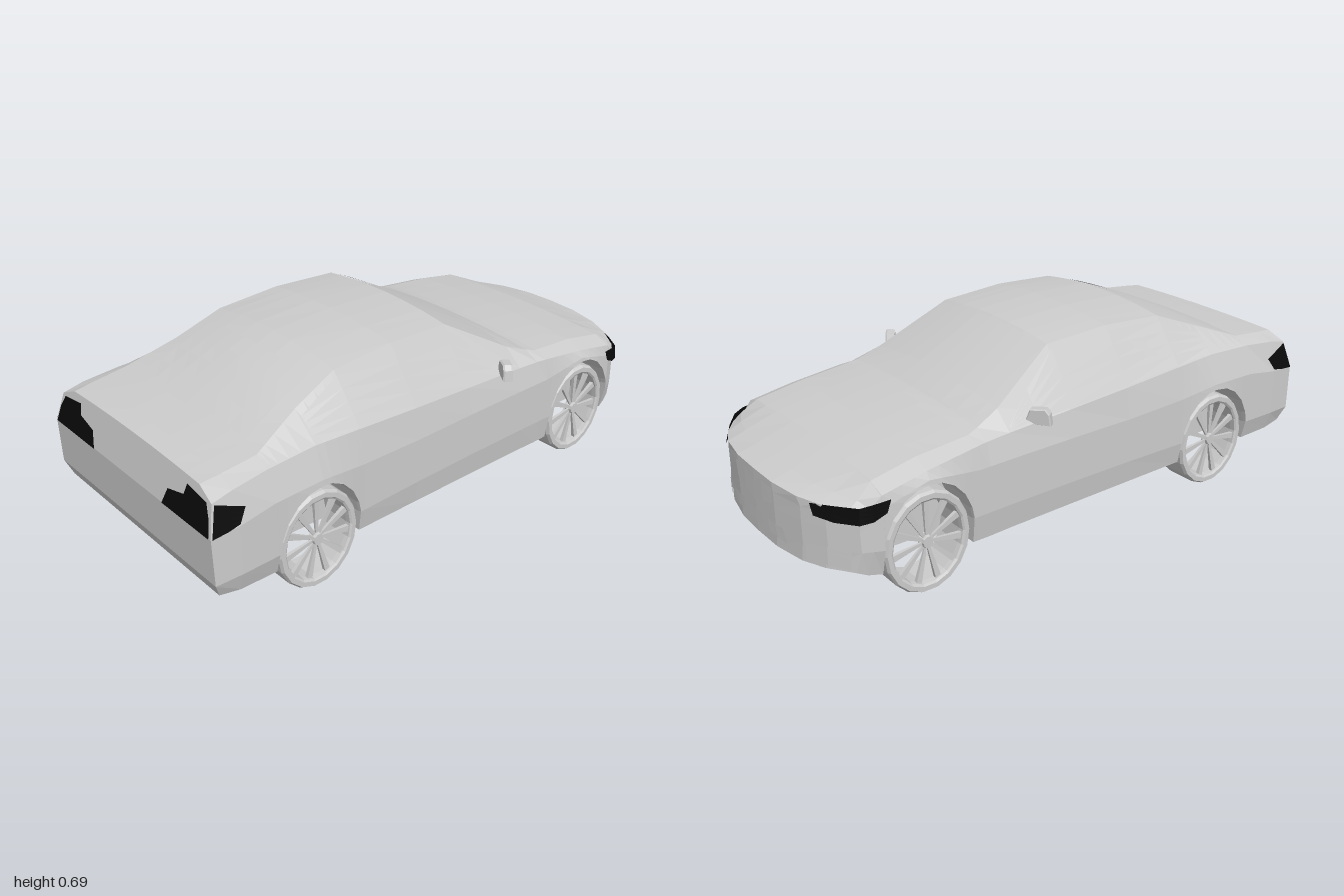
import * as THREE from 'three';

const grey = new THREE.MeshStandardMaterial({ color: 0xcccccc, flatShading: true, side: THREE.DoubleSide });
const black = new THREE.MeshStandardMaterial({ color: 0x0a0a0a, flatShading: true, side: THREE.DoubleSide });
const lerp = THREE.MathUtils.lerp;

// Body stations: z, then sillX sillY midX shoulderY beltX beltY edgeX edgeY centreY
const KNOTS = [
  [-1, .41, .14, .425, .28, .425, .33, .40, .35, .365],
  [-.93, .42, .125, .44, .30, .435, .352, .40, .374, .385],
  [-.8, .435, .12, .455, .35, .445, .39, .385, .415, .43],
  [-.64, .44, .12, .457, .395, .44, .42, .38, .445, .46],
  [-.45, .44, .118, .452, .37, .435, .445, .385, .465, .485],
  [-.41, .44, .118, .451, .37, .43, .447, .375, .475, .492],
  [-.32, .437, .119, .449, .37, .427, .452, .36, .512, .54],
  [-.07, .435, .122, .446, .37, .425, .465, .297, .655, .677],
  [.18, .435, .126, .446, .37, .425, .48, .302, .67, .69],
  [.42, .437, .131, .45, .38, .425, .497, .305, .657, .682],
  [.59, .44, .134, .457, .40, .422, .507, .325, .592, .617],
  [.77, .44, .138, .46, .40, .425, .502, .37, .525, .537],
  [.9, .44, .142, .46, .38, .43, .49, .367, .512, .522],
  [1, .435, .155, .455, .375, .43, .475, .362, .505, .513],
];
const AXLES = [-.64, .6];
const TOP = [1, .8, .6, .3, 0];

function table(rows, t) {
  if (t <= rows[0][0]) return rows[0];
  for (let i = 1; i < rows.length; i++) {
    const a = rows[i - 1], b = rows[i];
    if (t <= b[0]) return a.map((v, k) => lerp(v, b[k], (t - a[0]) / (b[0] - a[0])));
  }
  return rows[rows.length - 1];
}

// Wheel arch height at z (0 away from the wheels)
function archY(z) {
  for (const c of AXLES) {
    const d = (z - c) / .165;
    if (Math.abs(d) < .995) return .18 + .195 * Math.sqrt(1 - d * d);
  }
  return 0;
}
const tailZ = y => table([[.15, .972], [.22, 1], [.37, 1], [.515, .962]], y)[1];

// Round the nose in plan and lean the tail panel
function place(x, y, z) {
  if (z < -.8) z += (-z - .8) / .2 * .14 * Math.abs(x / .43) ** 3;
  if (z > .99) z = tailZ(y);
  return [x, y, z];
}

const topY = (x, z) => {
  const k = table(KNOTS, z);
  return lerp(k[9], k[8], Math.min(1, (x / k[7]) ** 2));
};

// Right half of a section, sill up to roof or deck edge
function sideRows(z) {
  const [, sx, sy, mx, shY, bx, by, ex, ey] = table(KNOTS, z), a = archY(z);
  return [[sx, Math.max(sy, a)], [mx, Math.max(.21, a + .006)], [mx - .002, Math.max(shY, a + .012)], [bx, by], [ex, ey]];
}
function sideX(z, y) {
  const rows = sideRows(z).map(([x, h]) => [h, x]);
  return table(rows, y)[1];
}

function gridGeometry(rows, closed) {
  const n = rows[0].length, index = [];
  for (let j = 0; j + 1 < rows.length; j++)
    for (let i = 0; i < (closed ? n : n - 1); i++) {
      const k = (i + 1) % n, a = j * n + i, b = j * n + k, c = b + n, d = a + n;
      index.push(a, b, c, a, c, d);
    }
  const g = new THREE.BufferGeometry();
  g.setAttribute('position', new THREE.Float32BufferAttribute(rows.flat(2), 3));
  g.setIndex(index);
  g.computeVertexNormals();
  return g;
}

function add(parent, name, geometry, material = grey) {
  const m = new THREE.Mesh(geometry, material);
  m.name = name;
  parent.add(m);
  return m;
}

// Thin panel between two polylines, laid on the body by a projection
function panel(parent, name, lineA, lineB, project, material = grey, steps = 4) {
  const rows = [];
  for (let j = 0; j <= steps; j++)
    rows.push(lineA.map((p, i) => project(...p.map((v, k) => lerp(v, lineB[i][k], j / steps)))));
  return add(parent, name, gridGeometry(rows, false), material);
}

function bodyShell(car) {
  const zs = KNOTS.map(k => k[0]);
  for (const c of AXLES)
    for (const d of [.166, .1635, .155, .13, .09, .045]) zs.push(c - d, c + d);
  zs.sort((a, b) => a - b);
  const rows = zs.map(z => {
    const k = table(KNOTS, z), side = sideRows(z);
    const half = [[0, k[2]], [.31, k[2]], [.31, side[0][1]], ...side.slice(0, 4),
      ...TOP.map(f => [k[7] * f, topY(k[7] * f, z)])];
    const mirror = half.slice(1, -1).reverse().map(([x, y]) => [-x, y]);
    return [...half, ...mirror].map(([x, y]) => place(x, y, z));
  });
  add(car, 'body', gridGeometry(rows, true));
  // End panels
  const across = [...TOP, ...TOP.slice(0, -1).reverse().map(f => -f)];
  for (const [name, z] of [['nosePanel', -1], ['tailPanel', 1]])
    add(car, name, gridGeometry(sideRows(z).map(([x, y], i) =>
      across.map(f => place(x * f, i === 4 ? topY(x * f, z) : y, z))), false));
}

function wheel() {
  const g = new THREE.Group();
  const ring = (name, pts) => {
    const m = add(g, name, new THREE.LatheGeometry(pts.map(p => new THREE.Vector2(...p)), 18));
    m.rotation.z = -Math.PI / 2;
  };
  ring('tyre', [[.134, -.065], [.149, -.067], [.155, -.056], [.155, .056], [.149, .067], [.134, .067]]);
  ring('rim', [[.134, .067], [.128, .062], [.126, .045], [.126, -.06], [.134, -.065]]);
  const spoke = new THREE.CylinderGeometry(.014, .006, .118, 4);
  spoke.rotateY(Math.PI / 4).scale(.7, 1, 1).translate(0, .07, 0);
  for (let i = 0; i < 11; i++) {
    const s = add(g, 'spoke', spoke);
    s.position.x = .05;
    s.rotation.x = i / 11 * Math.PI * 2;
  }
  const hub = add(g, 'hub', new THREE.CylinderGeometry(.018, .024, .025, 10));
  hub.rotation.z = -Math.PI / 2;
  hub.position.x = .05;
  return g;
}

export function createModel() {
  const car = new THREE.Group();
  car.name = 'car';
  bodyShell(car);

  // Windscreen and rear window
  const cols = [-1, -.75, -.5, -.25, 0, .25, .5, .75, 1];
  const onTop = (x, z) => [x, topY(x, z) + .004, z];
  const line = (w, z) => cols.map(c => [c * w, z]);
  panel(car, 'windscreen', line(.265, -.085), line(.335, -.405), onTop);
  panel(car, 'rearWindow', line(.26, .49), line(.27, .755), onTop);

  const onNose = (x, y) => [x, y, -1.004 + .14 * Math.abs(x / .43) ** 3];
  const onTail = (x, y) => [x, y, tailZ(y) + .003];
  panel(car, 'lowerIntake', line(.17, .225), line(.19, .18), onNose);
  panel(car, 'bootCrease', line(.12, .427), line(.2, .377), onTail);

  for (const s of [1, -1]) {
    const onSide = (z, y) => [s * (sideX(z, y) + .004), y, z];
    panel(car, 'sideWindow',
      [[.585, .575], [.42, .643], [.18, .655], [-.06, .642], [-.2, .548], [-.31, .468]],
      [[.585, .514], [.42, .503], [.18, .487], [-.06, .472], [-.2, .465], [-.31, .46]], onSide);

    // Tail light, rear and side faces
    panel(car, 'tailLight', [[.22, .43], [.30, .448], [.31, .485], [.41, .472], [.432, .43]],
      [[.2, .375], [.28, .375], [.31, .375], [.41, .375], [.445, .375]],
      (x, y) => onTail(s * x, y), black);
    panel(car, 'tailLightSide', [[.968, .472], [.92, .452], [.872, .432]],
      [[.996, .375], [.94, .38], [.9, .388]], onSide, black);

    // Headlight wrapping round the front corner
    const at = (x, y, z) => [s * x, y, z];
    panel(car, 'headlight',
      [[.29, .352, -.958], [.36, .358, -.918], [.43, .362, -.868], [.447, .37, -.83], [.456, .375, -.775]],
      [[.31, .318, -.958], [.37, .308, -.922], [.434, .308, -.872], [.449, .314, -.832], [.457, .335, -.79]], at, black);

    // Grille half, bumper corner intake
    panel(car, 'grille', [[0, .325], [.06, .345], [.13, .345]], [[0, .255], [.06, .275], [.12, .29]],
      (x, y) => onNose(s * x, y));
    panel(car, 'cornerIntake', [[.27, .21], [.34, .215], [.405, .215]], [[.27, .155], [.34, .155], [.4, .15]],
      (x, y) => onNose(s * x, y));

    // Door mirror
    const mirror = new THREE.Group();
    mirror.name = 'mirror';
    const outline = new THREE.Shape([[0, .012], [.012, .045], [.06, .05], [.072, .035], [.077, 0], [.03, 0]]
      .map(p => new THREE.Vector2(...p)));
    const shell = add(mirror, 'mirrorShell', new THREE.ExtrudeGeometry(outline,
      { depth: .022, bevelEnabled: true, bevelSize: .003, bevelThickness: .006, bevelSegments: 1 }));
    shell.rotation.y = -.6;
    shell.position.set(.425, .468, -.25);
    mirror.scale.x = s;
    car.add(mirror);

    // Wheels
    AXLES.forEach((z, i) => {
      const w = wheel();
      w.name = i ? 'rearWheel' : 'frontWheel';
      w.position.set(s * .376, .175, z);
      w.scale.set(s, .175 / .155, 1);
      car.add(w);
    });
  }
  return car;
}
